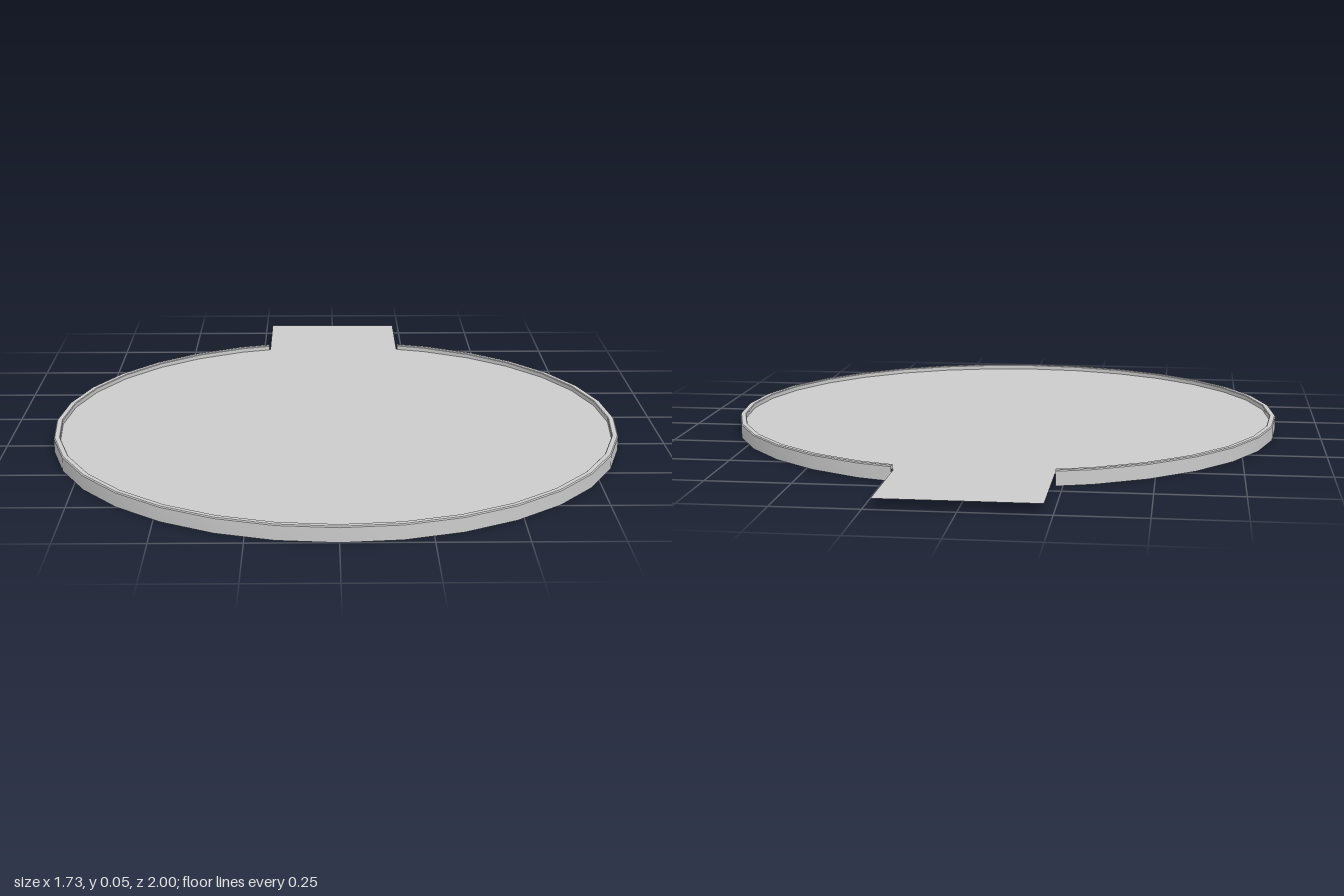
import * as THREE from 'three';
import { toCreasedNormals } from 'three/addons/utils/BufferGeometryUtils.js';

const CENTRE_Z = 0.135, FLOOR_Y = 0.03, INNER_R = 0.846, OUTER_R = 0.865;
const TONGUE_X = 0.226, TONGUE_START = -0.68, STEP = Math.PI / 16;

export function createModel() {
  const group = new THREE.Group();
  const material = new THREE.MeshStandardMaterial({ color: 0xcccccc, side: THREE.DoubleSide });
  const add = (name, geometry) => {
    const mesh = new THREE.Mesh(geometry, material);
    mesh.name = name;
    group.add(mesh);
    return mesh;
  };

  // Hollow raised rim, open underneath and interrupted at the tongue
  const profile = [
    [OUTER_R, 0], [OUTER_R, 0.042], [OUTER_R - 0.003, 0.045],
    [INNER_R + 0.002, 0.045], [INNER_R, 0.043], [INNER_R, FLOOR_Y],
  ].map(([r, y]) => new THREE.Vector2(r, y));
  const segments = 30, n = profile.length;
  const rimGeometry = new THREE.LatheGeometry(profile, segments, -15 * STEP, segments * STEP);

  // Trim both ends of the rim along their chords, level with the tongue sides
  const pos = rimGeometry.attributes.position;
  const end = new THREE.Vector3(), next = new THREE.Vector3();
  for (const [last, neighbour] of [[0, 1], [segments, segments - 1]]) {
    for (let j = 0; j < n; j++) {
      end.fromBufferAttribute(pos, last * n + j);
      next.fromBufferAttribute(pos, neighbour * n + j);
      const t = (0.229 - Math.abs(end.x)) / (Math.abs(next.x) - Math.abs(end.x));
      end.lerp(next, t);
      pos.setXYZ(last * n + j, end.x, end.y, end.z);
    }
  }
  add('rim', toCreasedNormals(rimGeometry, 0.5)).position.z = CENTRE_Z;

  // Thin round floor with a straight edge where the tongue begins
  const outline = [];
  for (let i = -14; i <= 14; i++) {
    outline.push(new THREE.Vector2(
      INNER_R * Math.sin(i * STEP), -INNER_R * Math.cos(i * STEP) - CENTRE_Z));
  }
  outline.push(new THREE.Vector2(TONGUE_X, -TONGUE_START), new THREE.Vector2(-TONGUE_X, -TONGUE_START));
  add('floor', new THREE.ShapeGeometry(new THREE.Shape(outline)).rotateX(-Math.PI / 2)).position.y = FLOOR_Y;

  // Flat tongue reaching out at the back
  const length = 1 + TONGUE_START;
  add('tongue', new THREE.PlaneGeometry(2 * TONGUE_X, length).rotateX(-Math.PI / 2))
    .position.set(0, FLOOR_Y, -1 + length / 2);

  return group;
}
